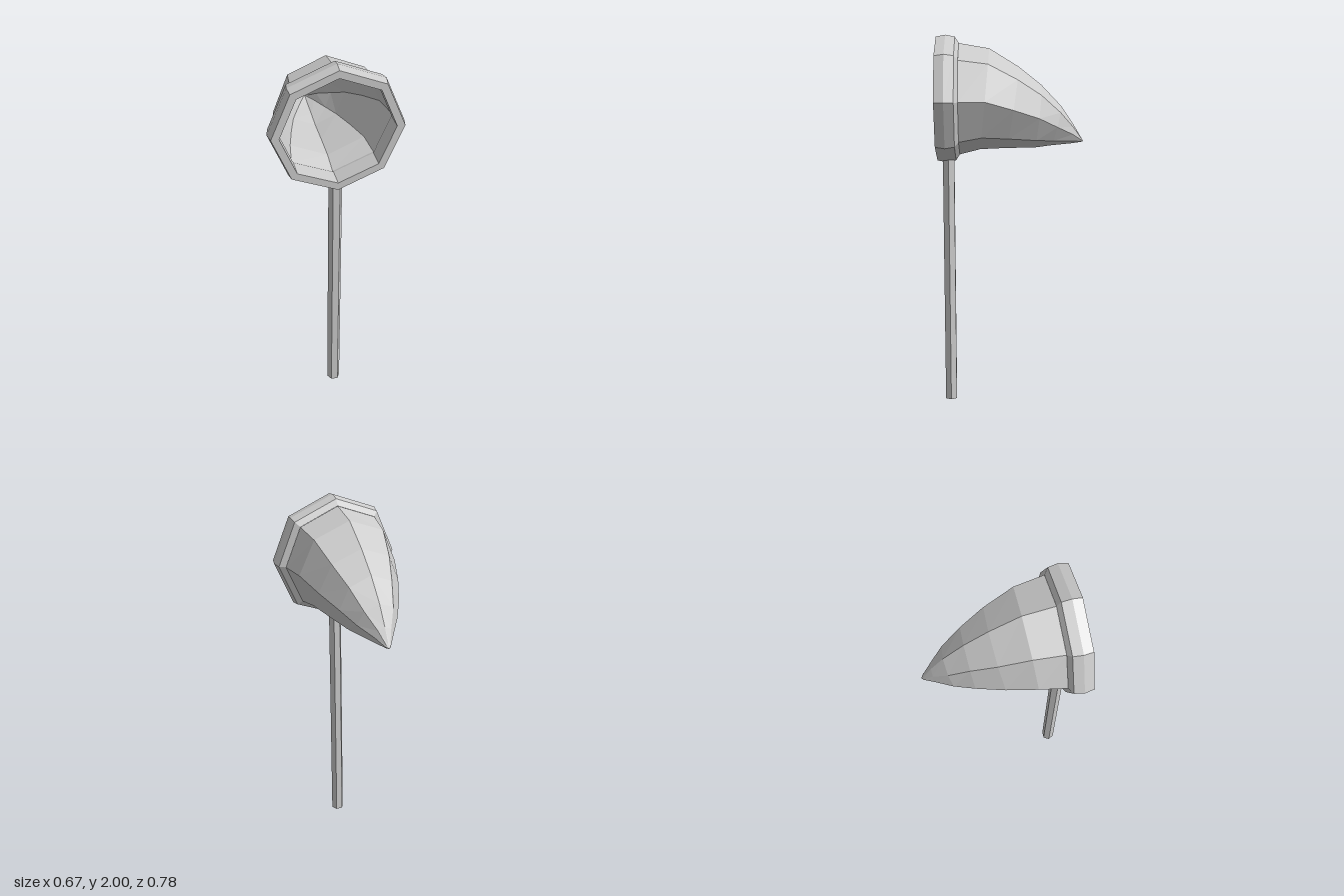
import * as THREE from 'three';

const SIDES = 8;

export function createModel() {
  const group = new THREE.Group();
  const grey = new THREE.MeshStandardMaterial({ color: 0xcccccc, flatShading: true });
  const thin = grey.clone();
  thin.side = THREE.DoubleSide;

  const add = (name, geometry, material) => {
    const mesh = new THREE.Mesh(geometry, material);
    mesh.name = name;
    group.add(mesh);
    return mesh;
  };

  // Six-sided pole, corners pointing sideways
  const pole = add('pole', new THREE.CylinderGeometry(0.035, 0.035, 1.345, 6), grey);
  pole.rotation.y = Math.PI / 2;
  pole.position.set(0, 0.6725, 0.33);

  // Octagonal hoop: closed profile (radius, depth) swept round the z axis
  const profile = [
    [0.293, 0.27], [0.325, 0.29], [0.335, 0.34], [0.325, 0.39],
    [0.285, 0.39], [0.285, 0.29], [0.293, 0.27],
  ].map(([r, z]) => new THREE.Vector2(r, z));
  const hoop = add('hoop', new THREE.LatheGeometry(profile, SIDES), grey);
  hoop.rotation.x = Math.PI / 2;
  hoop.position.y = 1.665;

  // Open bag: tilted octagon rings [topY, topZ, bottomY, bottomZ, halfWidth]
  const rings = [
    [1.957, 0.27, 1.372, 0.27, 0.293],
    [1.93, 0.11, 1.40, 0.16, 0.268],
    [1.835, -0.045, 1.406, 0.02, 0.22],
    [1.74, -0.165, 1.408, -0.13, 0.163],
    [1.63, -0.27, 1.42, -0.22, 0.11],
    [1.535, -0.335, 1.43, -0.325, 0.05],
    [1.46, -0.38, 1.438, -0.38, 0.014],
    [1.442, -0.39, 1.442, -0.39, 0],
  ];
  const positions = [];
  const index = [];
  rings.forEach(([topY, topZ, botY, botZ, w], i) => {
    for (let j = 0; j < SIDES; j++) {
      const a = (j / SIDES) * Math.PI * 2;
      const t = (1 + Math.cos(a)) / 2;
      positions.push(
        w * Math.sin(a),
        THREE.MathUtils.lerp(botY, topY, t),
        THREE.MathUtils.lerp(botZ, topZ, t),
      );
      if (i === rings.length - 1) continue;
      const k = (j + 1) % SIDES;
      const p = i * SIDES + j, q = i * SIDES + k;
      index.push(p, q, p + SIDES);
      // The last band closes on a single point
      if (i < rings.length - 2) index.push(q, q + SIDES, p + SIDES);
    }
  });
  const bag = new THREE.BufferGeometry();
  bag.setAttribute('position', new THREE.Float32BufferAttribute(positions, 3));
  bag.setIndex(index);
  bag.computeVertexNormals();
  add('netBag', bag, thin);

  return group;
}
